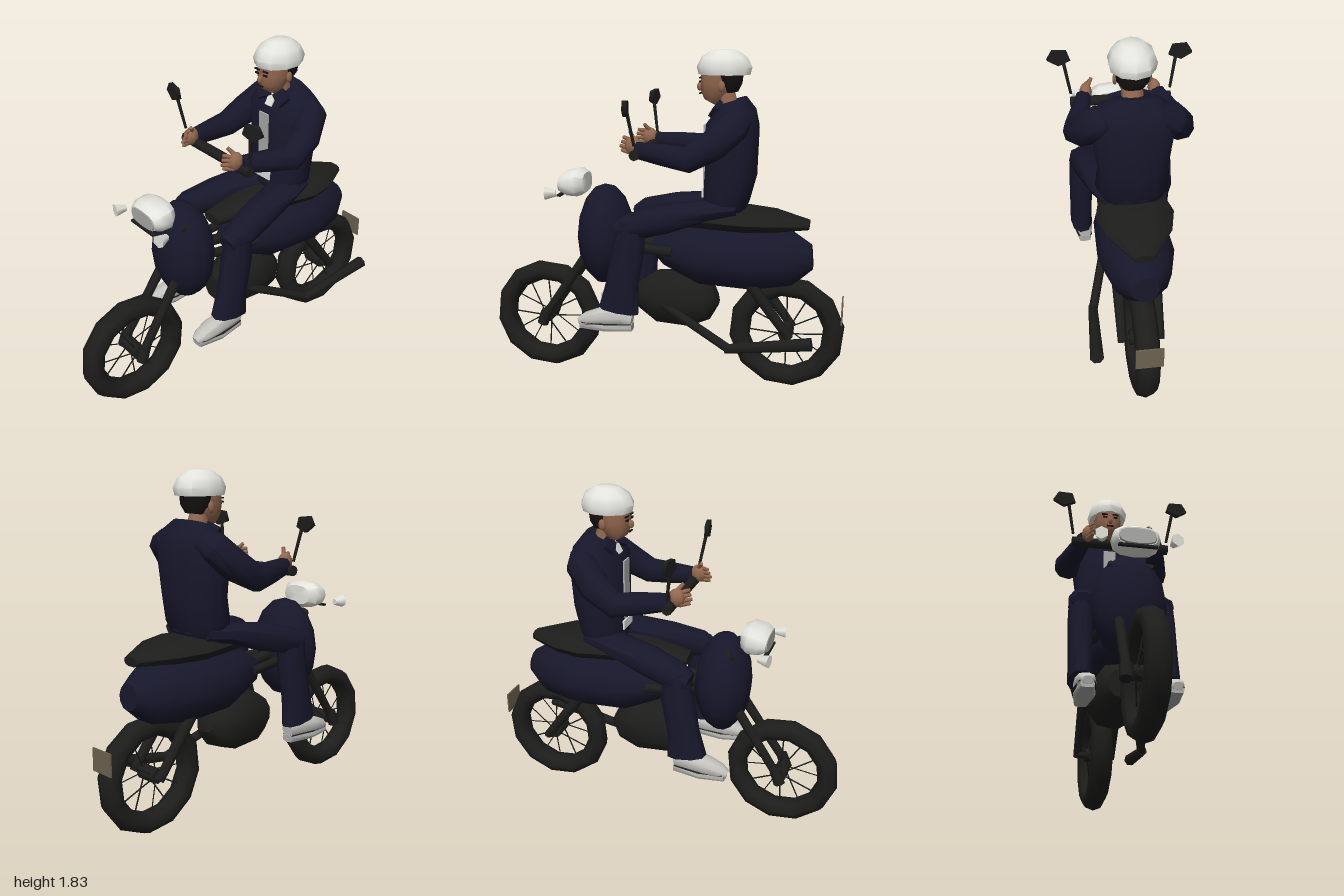
import * as THREE from 'three';
import { toCreasedNormals } from 'three/addons/utils/BufferGeometryUtils.js';

const mat = (name, color) => {
  const m = new THREE.MeshStandardMaterial({ color });
  m.name = name;
  return m;
};
const V = (p) => new THREE.Vector3(...p);

// Closed skin through oval sections [x, y, z, halfWidth, halfDepth] square to their path
function loft(sections, sides = 10, square = 0.85) {
  const pos = [], idx = [], n = sections.length;
  const centres = sections.map((s) => V(s.slice(0, 3)));
  const bend = (v) => Math.sign(v) * Math.pow(Math.abs(v), square);
  sections.forEach((s, i) => {
    const t = centres[Math.min(i + 1, n - 1)].clone().sub(centres[Math.max(i - 1, 0)]).normalize();
    const side = new THREE.Vector3(1, 0, 0).addScaledVector(t, -t.x).normalize();
    const up = t.clone().cross(side);
    for (let j = 0; j < sides; j++) {
      const a = (j / sides) * Math.PI * 2;
      const p = centres[i].clone().addScaledVector(side, bend(Math.cos(a)) * s[3])
        .addScaledVector(up, bend(Math.sin(a)) * s[4]);
      pos.push(p.x, p.y, p.z);
    }
  });
  const first = n * sides, last = first + 1;
  pos.push(...centres[0].toArray(), ...centres[n - 1].toArray());
  for (let j = 0; j < sides; j++) {
    const k = (j + 1) % sides;
    for (let i = 0; i < n - 1; i++) {
      const a = i * sides + j, b = i * sides + k;
      idx.push(a, b, b + sides, a, b + sides, a + sides);
    }
    idx.push(first, k, j, last, (n - 1) * sides + j, (n - 1) * sides + k);
  }
  const g = new THREE.BufferGeometry();
  g.setAttribute('position', new THREE.Float32BufferAttribute(pos, 3));
  g.setIndex(idx);
  return toCreasedNormals(g, 0.9);
}

export function createModel() {
  const navy = mat('navy', 0x17172b), black = mat('black', 0x1d1d1c), white = mat('white', 0xe4e4de);
  const grey = mat('grey', 0xaaaaa8), skin = mat('skin', 0x94694f), tan = mat('plate tan', 0x6e6250);
  const hairMat = mat('hair', 0x171412), shoeMat = mat('shoe grey', 0xc4c3be);
  const model = new THREE.Group();
  model.name = 'motorcycleAndRider';

  const add = (name, geo, m, pos = [0, 0, 0], parent = model) => {
    const mesh = new THREE.Mesh(geo, m);
    mesh.name = name;
    mesh.position.set(...pos);
    parent.add(mesh);
    return mesh;
  };
  const rod = (name, a, b, r, m = black, parent = model, r2 = r, sides = 7) => {
    const d = V(b).sub(V(a));
    const mesh = add(name, new THREE.CylinderGeometry(r2, r, d.length(), sides), m,
      V(a).add(V(b)).multiplyScalar(0.5).toArray(), parent);
    mesh.quaternion.setFromUnitVectors(new THREE.Vector3(0, 1, 0), d.normalize());
    return mesh;
  };
  const blob = (name, m, pos, size, w = 12, h = 8, parent = model) =>
    add(name, new THREE.SphereGeometry(1, w, h).scale(...size), m, pos, parent);
  const box = (name, m, pos, size, parent = model) => add(name, new THREE.BoxGeometry(...size), m, pos, parent);

  // Wheels with tyres, hubs and crossed spokes
  for (const [name, z] of [['frontWheel', 0.686], ['rearWheel', -0.684]]) {
    const wheel = new THREE.Group();
    wheel.name = name;
    wheel.position.set(0, 0.325, z);
    model.add(wheel);
    add('tyre', new THREE.TorusGeometry(0.259, 0.057, 8, 12).rotateZ(0.16).scale(1, 1, 1.12).rotateY(Math.PI / 2), black, [0, 0, 0], wheel);
    rod('hub', [-0.06, 0, 0], [0.06, 0, 0], 0.04, black, wheel, 0.04, 8);
    rod('axle', [-0.1, 0, 0], [0.1, 0, 0], 0.018, black, wheel);
    for (let i = 0; i < 12; i++) {
      const a = (i / 12) * Math.PI * 2;
      rod('spoke', [i % 2 ? 0.045 : -0.045, 0, 0], [0, Math.cos(a) * 0.22, Math.sin(a) * 0.22], 0.004, black, wheel, 0.004, 4);
    }
  }

  // Tank, rear body, seat and engine
  blob('tank', navy, [0, 0.82, 0.335], [0.2, 0.285, 0.155], 12, 8);
  add('rearBody', loft([[0, 0.77, 0.07, 0.05, 0.03], [0, 0.765, -0.02, 0.13, 0.1], [0, 0.74, -0.22, 0.19, 0.17],
    [0, 0.735, -0.5, 0.2, 0.178], [0, 0.745, -0.7, 0.15, 0.155], [0, 0.755, -0.81, 0.07, 0.07]], 12, 1), navy);
  add('seat', loft([[0, 0.93, 0.14, 0.06, 0.03], [0, 0.94, -0.05, 0.1, 0.05], [0, 0.95, -0.25, 0.16, 0.06], [0, 0.95, -0.45, 0.2, 0.062],
    [0, 0.945, -0.6, 0.165, 0.055], [0, 0.93, -0.79, 0.05, 0.025]], 10, 0.8), black);
  add('engine', loft([[0, 0.48, 0.14, 0.07, 0.08], [0, 0.48, 0.04, 0.13, 0.15], [0, 0.48, -0.14, 0.14, 0.162],
    [0, 0.49, -0.24, 0.12, 0.125], [0, 0.51, -0.29, 0.07, 0.06]], 9, 0.9), black);
  rod('frameTube', [0, 0.8, 0.22], [0, 0.77, -0.02], 0.03);
  rod('engineMount', [0, 0.55, -0.1], [0, 0.7, -0.15], 0.06);

  // Fork, shocks and frame rails on both sides
  for (const s of [-1, 1]) {
    rod('forkLeg', [s * 0.085, 0.32, 0.69], [s * 0.07, 0.72, 0.42], 0.024, black, model, 0.028);
    rod('forkCap', [s * 0.09, 0.29, 0.695], [s * 0.085, 0.37, 0.665], 0.032);
    rod('rearShock', [s * 0.1, 0.32, -0.71], [s * 0.1, 0.64, -0.47], 0.024, black, model, 0.034);
    rod('frameRail', [s * 0.1, 0.785, 0.2], [s * 0.13, 0.77, -0.07], 0.026);
    rod('lampBracket', [s * 0.09, 1.03, 0.4], [s * 0.1, 1.0, 0.36], 0.03);

    // Turn signals
    const signal = add('turnSignal', new THREE.CylinderGeometry(0.018, 0.036, 0.06, 6).rotateX(-Math.PI / 2), white, [s * 0.187, 1.075, 0.59]);
    signal.rotation.y = s * 0.2;

    // Mirrors
    rod('mirrorStem', [s * 0.265, 1.36, 0.1], [s * 0.3, 1.55, 0.13], 0.008, black, model, 0.01, 5);
    const mirror = add('mirror', new THREE.CylinderGeometry(0.065, 0.065, 0.024, 5).rotateX(Math.PI / 2).scale(1, 0.7, 1), black, [s * 0.32, 1.56, 0.13]);
    mirror.rotation.set(0, s * 0.15, s * 0.12);
  }

  // Exhaust on the left
  rod('exhaustPipe', [0.1, 0.47, 0.0], [0.22, 0.28, -0.4], 0.025);
  rod('muffler', [0.22, 0.28, -0.38], [0.245, 0.355, -0.835], 0.026, black, model, 0.036, 7);

  // Handlebar and headlamp
  rod('handlebar', [-0.27, 1.31, 0.1], [0.27, 1.31, 0.1], 0.028, black, model, 0.028, 8);
  add('headlamp', loft([[0, 1.11, 0.44, 0.09, 0.055], [0, 1.11, 0.48, 0.125, 0.078], [0, 1.105, 0.54, 0.125, 0.07],
    [0, 1.1, 0.575, 0.105, 0.05]], 12, 0.75), white);
  add('headlampLens', loft([[0, 1.1, 0.572, 0.1, 0.045], [0, 1.1, 0.582, 0.095, 0.042]], 12, 0.7), grey);
  box('lampGrille', black, [0, 1.045, 0.575], [0.2, 0.012, 0.02]);

  // Number plate at the back
  box('numberPlate', tan, [0, 0.465, -0.98], [0.14, 0.12, 0.008]);

  // Rider
  const rider = new THREE.Group();
  rider.name = 'rider';
  model.add(rider);
  add('jacket', loft([[0, 1.02, -0.335, 0.17, 0.115], [0, 1.07, -0.345, 0.19, 0.125], [0, 1.2, -0.365, 0.18, 0.14],
    [0, 1.45, -0.372, 0.215, 0.14], [0, 1.53, -0.39, 0.185, 0.1], [0, 1.58, -0.375, 0.11, 0.065]], 12, 0.8), navy, [0, 0, 0], rider);
  box('shirtFront', grey, [0, 1.285, -0.224], [0.07, 0.33, 0.009], rider);
  box('shirtHem', white, [0, 1.09, -0.222], [0.12, 0.05, 0.009], rider);
  const collar = box('shirtCollar', white, [0, 1.515, -0.27], [0.05, 0.07, 0.009], rider);
  collar.rotation.x = -0.5;
  blob('hips', navy, [0, 1.03, -0.34], [0.18, 0.06, 0.125], 10, 6, rider);

  for (const s of [-1, 1]) {
    const flip = (list) => list.map(([x, ...rest]) => [s * x, ...rest]);

    // Arms and hands
    add('sleeve', loft(flip([[0.12, 1.5, -0.43, 0.05, 0.06], [0.175, 1.465, -0.4, 0.08, 0.085], [0.24, 1.37, -0.3, 0.075, 0.08],
      [0.268, 1.3, -0.18, 0.063, 0.068], [0.235, 1.315, -0.05, 0.055, 0.058], [0.2, 1.33, 0.1, 0.042, 0.045]]), 9), navy, [0, 0, 0], rider);
    const lapel = box('jacketLapel', navy, [s * 0.06, 1.54, -0.29], [0.09, 0.07, 0.025], rider);
    lapel.rotation.set(-0.6, 0, s * -0.5);
    blob('palm', skin, [s * 0.185, 1.35, 0.125], [0.034, 0.05, 0.045], 8, 6, rider);
    for (let i = 0; i < 4; i++) {
      const y = 1.315 + i * 0.022;
      rod('finger', [s * 0.19, y, 0.14], [s * (0.165 - i * 0.004), y + 0.008, 0.2 - Math.abs(i - 1) * 0.008], 0.013, skin, rider, 0.01, 5);
    }
    rod('thumb', [s * 0.18, 1.38, 0.12], [s * 0.15, 1.42, 0.15], 0.014, skin, rider, 0.01, 5);

    // Legs
    add('thigh', loft(flip([[0.09, 1.025, -0.4, 0.08, 0.045], [0.12, 1.01, -0.26, 0.1, 0.055], [0.17, 0.96, -0.03, 0.09, 0.078],
      [0.212, 0.92, 0.14, 0.077, 0.075], [0.217, 0.9, 0.21, 0.055, 0.045]]), 9), navy, [0, 0, 0], rider);
    add('shin', loft(flip([[0.225, 0.455, 0.2, 0.062, 0.112], [0.225, 0.6, 0.18, 0.062, 0.09], [0.222, 0.8, 0.145, 0.066, 0.09],
      [0.22, 0.95, 0.13, 0.062, 0.07]]), 9), navy, [0, 0, 0], rider);

    // Shoes with dark welts
    add('shoe', loft(flip([[0.21, 0.405, 0.13, 0.035, 0.045], [0.21, 0.415, 0.19, 0.05, 0.05], [0.215, 0.405, 0.31, 0.055, 0.05],
      [0.22, 0.39, 0.39, 0.045, 0.035], [0.22, 0.375, 0.43, 0.025, 0.02]]), 9, 0.75), shoeMat, [0, 0, 0], rider);
    add('sole', loft(flip([[0.21, 0.36, 0.13, 0.035, 0.02], [0.215, 0.355, 0.28, 0.056, 0.02], [0.22, 0.36, 0.42, 0.035, 0.02]]), 8, 0.5), grey, [0, 0, 0], rider);
    add('welt', loft(flip([[0.21, 0.38, 0.135, 0.04, 0.004], [0.215, 0.378, 0.28, 0.059, 0.004], [0.22, 0.378, 0.41, 0.04, 0.004]]), 8, 0.5), black, [0, 0, 0], rider);

    // Eyes, brows and ears
    box('eye', hairMat, [s * 0.032, 1.675, -0.199], [0.026, 0.009, 0.009], rider);
    box('brow', hairMat, [s * 0.032, 1.695, -0.201], [0.036, 0.008, 0.009], rider);
    blob('ear', skin, [s * 0.083, 1.655, -0.32], [0.012, 0.03, 0.02], 6, 5, rider);
  }

  // Head, hair and helmet
  rod('neck', [0, 1.52, -0.35], [0, 1.63, -0.32], 0.058, skin, rider, 0.052, 9);
  add('head', loft([[0, 1.57, -0.25, 0.035, 0.04], [0, 1.6, -0.265, 0.06, 0.07], [0, 1.66, -0.285, 0.08, 0.09],
    [0, 1.74, -0.295, 0.08, 0.095]], 10), skin, [0, 0, 0], rider);
  add('hair', loft([[0, 1.62, -0.36, 0.05, 0.035], [0, 1.66, -0.355, 0.08, 0.06], [0, 1.74, -0.345, 0.09, 0.08]], 10), hairMat, [0, 0, 0], rider);
  blob('nose', skin, [0, 1.648, -0.192], [0.013, 0.024, 0.018], 6, 5, rider);
  box('mouth', hairMat, [0, 1.612, -0.194], [0.04, 0.007, 0.008], rider);
  const profile = [[0, 1.715], [0.112, 1.712], [0.12, 1.75], [0.1, 1.8], [0.055, 1.836], [0, 1.842]];
  add('helmet', toCreasedNormals(new THREE.LatheGeometry(profile.map((p) => new THREE.Vector2(...p)), 10).scale(1, 1, 1.22), 0.9),
    white, [0, 0, -0.32], rider);

  return model;
}
